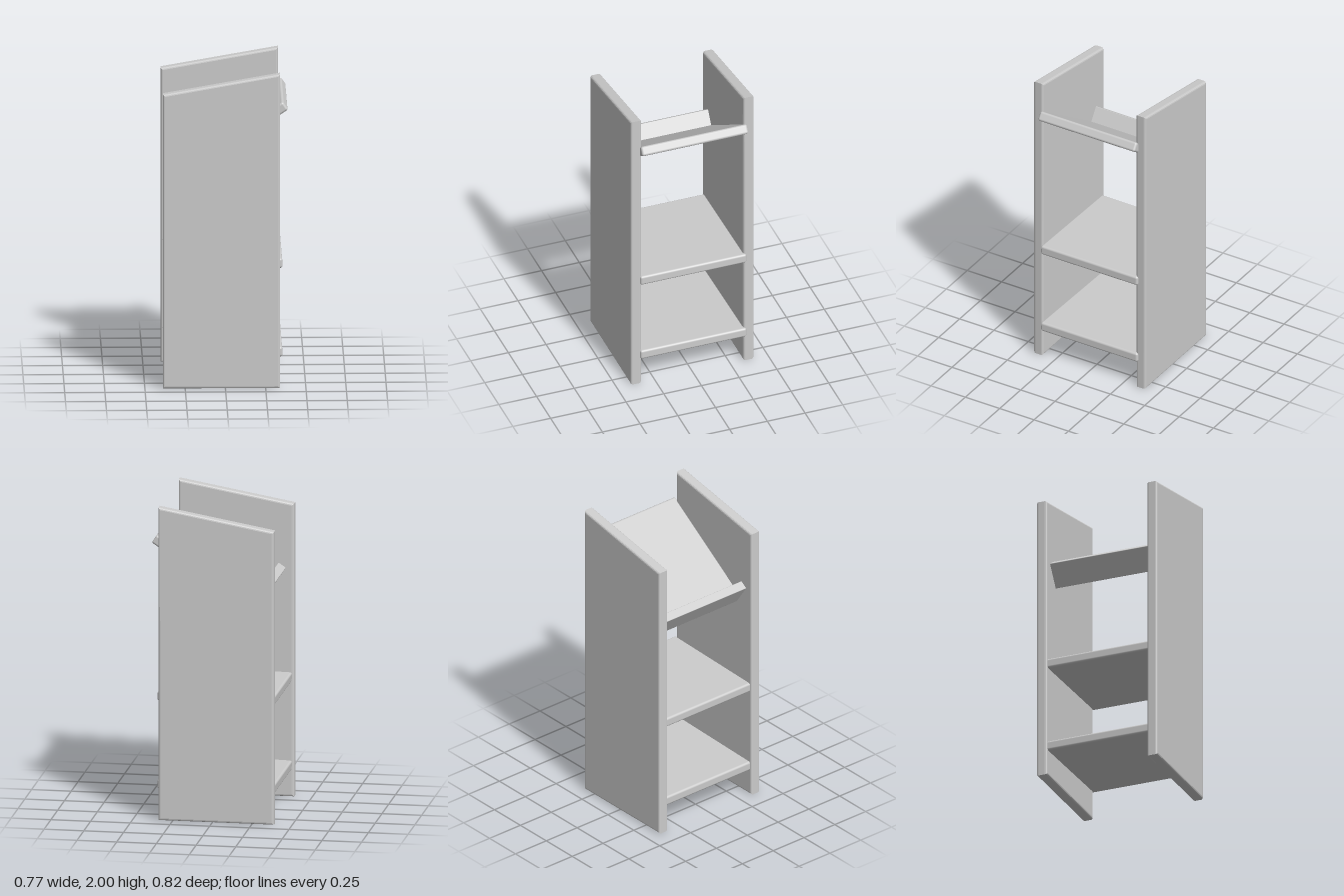
import * as THREE from 'three';
import { RoundedBoxGeometry } from 'three/addons/geometries/RoundedBoxGeometry.js';

const material = new THREE.MeshStandardMaterial({ color: 0xcccccc });
const BEVEL = 0.014;

// Board given by its limits in x and y, and its width along z
function board(name, x0, x1, y0, y1, width, radius) {
  const geometry = new RoundedBoxGeometry(x1 - x0, y1 - y0, width, 3, radius);
  geometry.translate((x0 + x1) / 2, (y0 + y1) / 2, 0);
  const mesh = new THREE.Mesh(geometry, material);
  mesh.name = name;
  return mesh;
}

// Upright side with a sloping top and softened edges
function sidePanel(name, z) {
  const thickness = 0.07;
  const shape = new THREE.Shape([
    new THREE.Vector2(-0.388, 0),
    new THREE.Vector2(0.34, 0),
    new THREE.Vector2(0.34, 2),
    new THREE.Vector2(-0.388, 1.872),
  ]);
  const geometry = new THREE.ExtrudeGeometry(shape, {
    depth: thickness - 2 * BEVEL,
    bevelThickness: BEVEL,
    bevelSize: BEVEL,
    bevelOffset: -BEVEL,
    bevelSegments: 3,
  });
  geometry.translate(0, 0, BEVEL - thickness / 2);
  const mesh = new THREE.Mesh(geometry, material);
  mesh.name = name;
  mesh.position.z = z;
  return mesh;
}

export function createModel() {
  const model = new THREE.Group();
  model.name = 'shelfStand';

  // Two uprights
  model.add(sidePanel('frontPanel', 0.373), sidePanel('backPanel', -0.373));

  // Lower shelves, leaning slightly down toward -x
  [['lowerShelf', 0.21], ['middleShelf', 0.774]].forEach(([name, y]) => {
    const shelf = board(name, -0.365, 0.365, -0.031, 0.031, 0.704, BEVEL);
    shelf.position.set(-0.01, y, -0.004);
    shelf.rotation.z = THREE.MathUtils.degToRad(1.4);
    model.add(shelf);
  });

  // Steep top shelf with a stop lip along its low end
  const topShelf = new THREE.Group();
  topShelf.name = 'slantedShelf';
  topShelf.add(
    board('slantedBoard', -0.717, 0, -0.061, 0, 0.704, BEVEL),
    board('stopLip', -0.771, -0.715, -0.061, 0.1, 0.69, 0.004),
  );
  topShelf.position.set(0.358, 1.812, -0.004);
  topShelf.rotation.z = THREE.MathUtils.degToRad(34);
  model.add(topShelf);

  return model;
}
